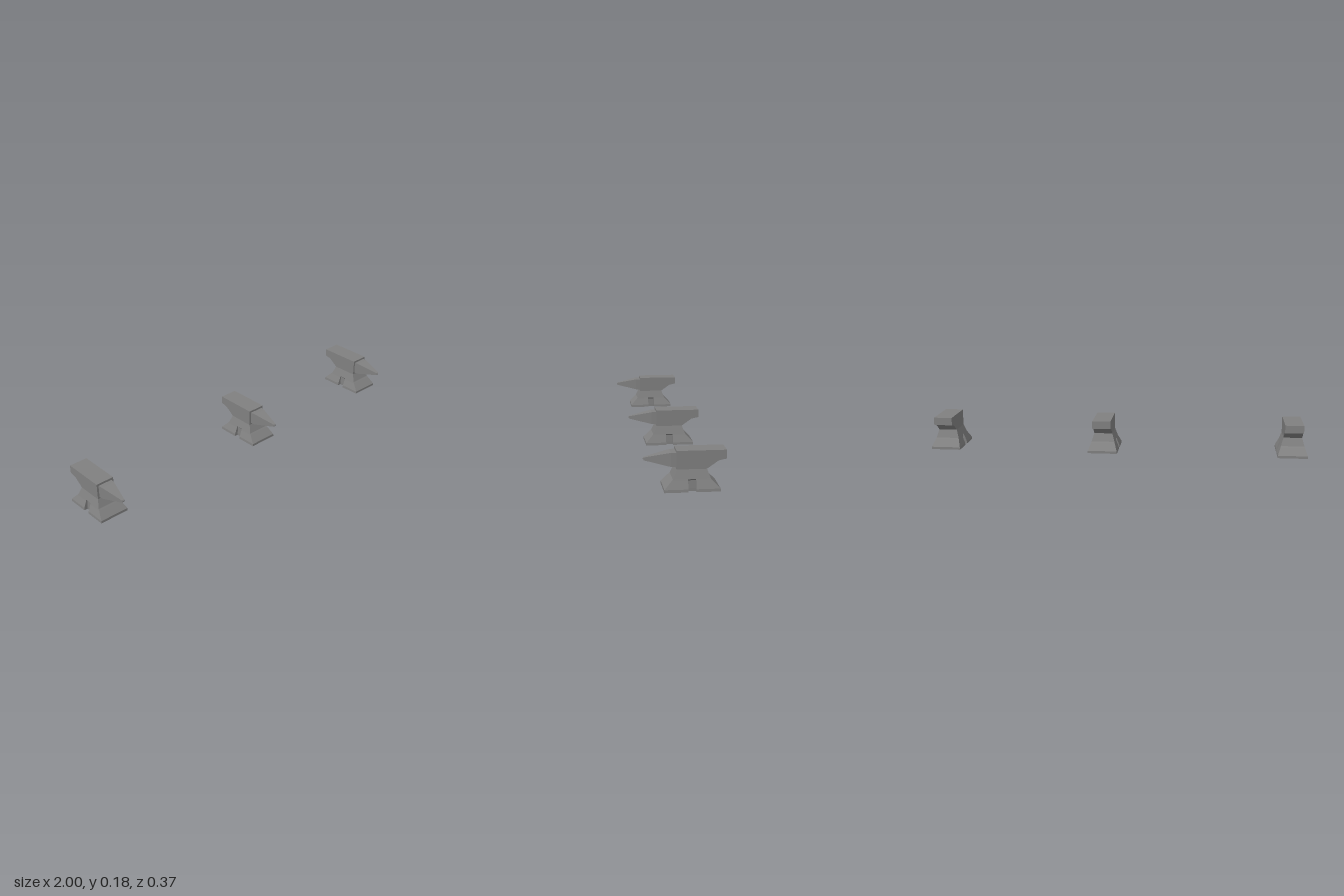
import * as THREE from 'three';

const iron = new THREE.MeshStandardMaterial({ color: 0x808080 });
iron.name = 'iron grey';

// Flat-faced skin through equal-length rings of [x, y, z]; rings run counter-clockwise seen from the far end
function loft(rings) {
  const pos = [];
  for (let r = 0; r < rings.length - 1; r++) {
    const lo = rings[r], hi = rings[r + 1];
    lo.forEach((a, i) => {
      const j = (i + 1) % lo.length;
      pos.push(...a, ...lo[j], ...hi[j], ...a, ...hi[j], ...hi[i]);
    });
  }
  return pos;
}

function toGeometry(pos) {
  const g = new THREE.BufferGeometry();
  g.setAttribute('position', new THREE.Float32BufferAttribute(pos, 3));
  g.computeVertexNormals();
  return g;
}

// Flared foot with a shallow slot in each side
function footGeometry() {
  const a = -0.01, b = -0.046;
  // y, half width, slot wall half width, front z, back z
  const levels = [
    [0, 0.078, 0.058, 0.096, -0.153],
    [0.013, 0.077, 0.058, 0.096, -0.153],
    [0.049, 0.063, 0.056, 0.063, -0.118],
    [0.055, 0.061, 0.061, 0.057, -0.112],
    [0.097, 0.048, 0.048, 0.039, -0.096],
  ];
  const rings = levels.map(([y, w, n, front, back]) => {
    const side = [[w, y, front], [w, y, a], [n, y, a], [n, y, b], [w, y, b], [w, y, back]];
    return [...side, ...side.map(([x, h, z]) => [-x, h, z]).reverse()];
  });
  const pos = loft(rings);
  // underside
  const base = rings[0];
  const outline = base.map(([x, , z]) => new THREE.Vector2(x, -z));
  for (const [i, j, k] of THREE.ShapeUtils.triangulateShape(outline, [])) {
    pos.push(...base[i], ...base[k], ...base[j]);
  }
  return toGeometry(pos);
}

// Straight-sided face block with the undercut heel
function faceGeometry() {
  const profile = [[0.039, 0.097], [0.039, 0.181], [-0.184, 0.181],
    [-0.184, 0.141], [-0.147, 0.133], [-0.096, 0.097]];
  const shape = new THREE.Shape(profile.map(([z, y]) => new THREE.Vector2(z, y)));
  const g = new THREE.ExtrudeGeometry(shape, { depth: 0.096, bevelEnabled: false });
  return g.translate(0, 0, -0.048).rotateY(-Math.PI / 2);
}

// Four-sided tapering horn
function hornGeometry() {
  // z, half width, bottom y, top y
  const sections = [
    [0.039, 0.038, 0.106, 0.17],
    [0.063, 0.035, 0.106, 0.17],
    [0.18, 0.007, 0.132, 0.145],
    [0.184, 0.001, 0.138, 0.14],
  ];
  const rings = sections.map(([z, w, y0, y1]) => [[-w, y0, z], [w, y0, z], [w, y1, z], [-w, y1, z]]);
  const pos = loft(rings);
  const [p, q, r, s] = rings[rings.length - 1];
  pos.push(...p, ...q, ...r, ...p, ...r, ...s);
  return toGeometry(pos);
}

export function createModel() {
  const model = new THREE.Group();
  model.name = 'anvils';
  const parts = { foot: footGeometry(), face: faceGeometry(), horn: hornGeometry() };

  // Three identical anvils in a row
  [-0.922, 0.074, 0.922].forEach((x, i) => {
    const anvil = new THREE.Group();
    anvil.name = ['rightAnvil', 'middleAnvil', 'leftAnvil'][i];
    for (const [name, geometry] of Object.entries(parts)) {
      const mesh = new THREE.Mesh(geometry, iron);
      mesh.name = name;
      anvil.add(mesh);
    }
    anvil.position.x = x;
    model.add(anvil);
  });
  return model;
}
